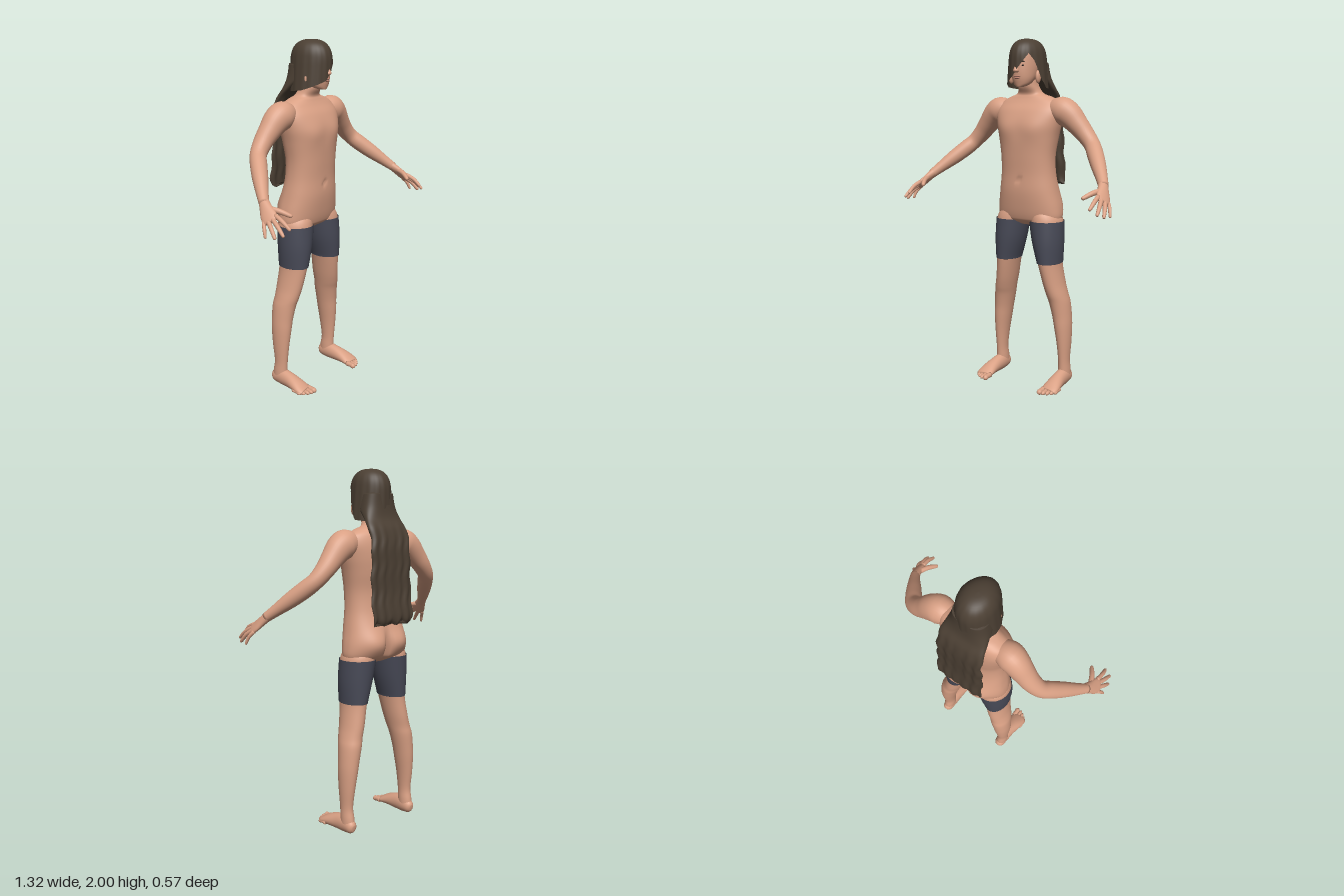
import * as THREE from 'three';

const mat = (name, color, side = THREE.FrontSide) => {
  const m = new THREE.MeshStandardMaterial({ color, side });
  m.name = name;
  return m;
};
const V3 = (x, y, z) => new THREE.Vector3(x, y, z);
const gauss = (d, w) => Math.exp(-(d * d) / (w * w));
const spow = (v, e) => Math.sign(v) * Math.abs(v) ** e;

// Catmull-Rom smoothing of rows [x, y, z, radiusU, radiusV]
function smoothRows(rows, sub) {
  const out = [], at = (i) => rows[Math.min(Math.max(i, 0), rows.length - 1)];
  for (let i = 0; i < rows.length - 1; i++) {
    for (let s = 0; s < sub; s++) {
      const t = s / sub;
      out.push(rows[i].map((b, k) => {
        const a = at(i - 1)[k], c = at(i + 1)[k], d = at(i + 2)[k];
        return 0.5 * (2 * b + (c - a) * t + (2 * a - 5 * b + 4 * c - d) * t * t + (3 * b - a - 3 * c + d) * t ** 3);
      }));
    }
  }
  out.push(at(rows.length - 1));
  return out;
}

// Skin rings along a path; 'hint' is the U direction, or null for level rings stacked upwards
function loft(rows, { n = 24, sub = 4, hint = null, e = 1, cap = true, shape = null } = {}) {
  const R = smoothRows(rows, sub), pos = [], idx = [];
  const C = R.map((r) => V3(r[0], r[1], r[2]));
  R.forEach((r, k) => {
    let U = V3(1, 0, 0), V = V3(0, 0, -1);
    if (hint) {
      const T = C[Math.min(k + 1, C.length - 1)].clone().sub(C[Math.max(k - 1, 0)]).normalize();
      U = hint.clone().addScaledVector(T, -T.dot(hint)).normalize();
      V = T.clone().cross(U);
    }
    for (let j = 0; j < n; j++) {
      const a = (j / n) * Math.PI * 2;
      const p = C[k].clone().addScaledVector(U, r[3] * spow(Math.cos(a), e)).addScaledVector(V, r[4] * spow(Math.sin(a), e));
      if (shape) shape(p);
      pos.push(p.x, p.y, p.z);
      if (k < R.length - 1) {
        const A = k * n + j, B = k * n + (j + 1) % n;
        idx.push(A, B, B + n, A, B + n, A + n);
      }
    }
  });
  if (cap) {
    const last = (R.length - 1) * n, c0 = R.length * n;
    for (const c of [C[0], C[C.length - 1]]) pos.push(c.x, c.y, c.z);
    for (let j = 0; j < n; j++) {
      const q = (j + 1) % n;
      idx.push(c0, q, j, c0 + 1, last + j, last + q);
    }
  }
  return finish(pos, idx);
}

function finish(pos, idx) {
  const g = new THREE.BufferGeometry();
  g.setAttribute('position', new THREE.Float32BufferAttribute(pos, 3));
  g.setIndex(idx);
  g.computeVertexNormals();
  return g;
}

function mirrored(geo) {
  const g = geo.clone().scale(-1, 1, 1);
  g.setIndex(Array.from(g.index.array).reverse());
  g.computeVertexNormals();
  return g;
}

const ball = (x, y, z, sx, sy, sz) => new THREE.SphereGeometry(1, 20, 14).scale(sx, sy, sz).translate(x, y, z);

// Hair cap: a dome whose lower edge follows the hairline around the head
function hairCap() {
  const line = [[-180, 1.71], [-80, 1.735], [-40, 1.765], [-15, 1.785], [15, 1.85], [45, 1.915], [60, 1.88], [80, 1.775], [95, 1.73], [180, 1.71]];
  const edge = (deg) => {
    const i = Math.max(1, line.findIndex((l) => l[0] >= deg));
    const [a, ya] = line[i - 1], [b, yb] = line[i];
    return ya + ((yb - ya) * (deg - a)) / (b - a);
  };
  const n = 72, m = 22, pos = [], idx = [];
  for (let k = 0; k <= m; k++) {
    for (let j = 0; j < n; j++) {
      const deg = -180 + (360 * j) / n, a = (deg * Math.PI) / 180;
      const d = (2 - edge(deg)) * (k / m) ** 1.8;
      const q = 1 - Math.min(d / 0.13, 1);
      const dome = (1 - q ** 2.6) ** (1 / 2.6), flare = Math.max(0, d - 0.1);
      const wave = 1 + 0.012 * Math.sin(a * 17) * Math.min(1, d * 8);
      const x = Math.sin(a) * (0.1 * dome + 0.1 * flare) * wave * (1 - 0.1 * Math.max(0, Math.cos(a)));
      pos.push(x, 2 - d, -0.075 + Math.cos(a) * 0.126 * dome * wave);
      if (k < m) {
        const A = k * n + j, B = k * n + (j + 1) % n;
        idx.push(A, A + n, B + n, A, B + n, B);
      }
    }
  }
  return finish(pos, idx);
}

export function createModel() {
  const root = new THREE.Group();
  const skin = mat('skin', 0xd9a084), hair = mat('hair', 0x4b3f33, THREE.DoubleSide);
  const cloth = mat('shorts cloth', 0x484a57, THREE.DoubleSide), lip = mat('lips', 0xbd8270), dark = mat('eye', 0x2c2522);
  const add = (name, geo, m) => {
    const mesh = new THREE.Mesh(geo, m);
    mesh.name = name;
    root.add(mesh);
  };
  const pair = (name, geo, m) => {
    add(name + 'Left', geo, m);
    add(name + 'Right', mirrored(geo), m);
  };

  // Torso and neck, with soft muscle shaping
  add('torso', loft([
    [0, 0.95, -0.10, 0.05, 0.04], [0, 0.975, -0.105, 0.18, 0.085], [0, 1.0, -0.11, 0.203, 0.104],
    [0, 1.06, -0.11, 0.2, 0.117], [0, 1.15, -0.1, 0.183, 0.118], [0, 1.25, -0.09, 0.168, 0.108],
    [0, 1.35, -0.085, 0.167, 0.108], [0, 1.45, -0.09, 0.182, 0.117], [0, 1.53, -0.095, 0.2, 0.118],
    [0, 1.6, -0.105, 0.21, 0.104], [0, 1.65, -0.115, 0.188, 0.082], [0, 1.68, -0.115, 0.135, 0.066],
    [0, 1.7, -0.11, 0.08, 0.057], [0, 1.74, -0.09, 0.058, 0.055], [0, 1.8, -0.08, 0.05, 0.05],
  ], {
    n: 80, sub: 6, e: 0.87, shape: (p) => {
      const x = Math.abs(p.x);
      if (p.z < -0.12) {
        p.z -= 0.03 * gauss(x - 0.09, 0.08) * gauss(p.y - 1.07, 0.07);
        p.z += 0.03 * gauss(x, 0.018) * gauss(p.y - 1.04, 0.08) + 0.008 * gauss(x, 0.025) * gauss(p.y - 1.4, 0.2);
      } else if (p.z > -0.06) {
        p.z += 0.008 * gauss(x - 0.09, 0.06) * gauss(p.y - 1.5, 0.06);
        p.z -= 0.012 * gauss(x, 0.012) * gauss(p.y - 1.215, 0.014);
      }
    },
  }), skin);

  // Head
  add('head', loft([
    [0, 1.735, 0, 0.02, 0.02], [0, 1.75, -0.02, 0.045, 0.045], [0, 1.78, -0.037, 0.062, 0.07],
    [0, 1.82, -0.055, 0.072, 0.092], [0, 1.87, -0.065, 0.078, 0.1], [0, 1.92, -0.07, 0.078, 0.1],
    [0, 1.96, -0.07, 0.06, 0.08], [0, 1.985, -0.07, 0.03, 0.04],
  ], { n: 40 }), skin);
  add('nose', loft([[0, 1.811, 0.033, 0.008, 0.008], [0, 1.82, 0.04, 0.016, 0.019], [0, 1.84, 0.038, 0.011, 0.014], [0, 1.875, 0.03, 0.007, 0.007]]), skin);
  add('upperLip', ball(0, 1.792, 0.032, 0.022, 0.005, 0.009), lip);
  add('lowerLip', ball(0, 1.783, 0.031, 0.018, 0.006, 0.009), lip);
  pair('ear', ball(0.09, 1.79, -0.045, 0.014, 0.036, 0.02), skin);
  pair('eye', ball(0.031, 1.851, 0.025, 0.012, 0.004, 0.004), dark);
  pair('eyebrow', ball(0.033, 1.871, 0.027, 0.018, 0.004, 0.004), hair);

  // Hair: cap with a slanted fringe, and a long sheet down the back
  add('hairCap', hairCap(), hair);
  add('longHair', loft([
    [0, 1.18, -0.262, 0.135, 0.006], [0, 1.22, -0.266, 0.142, 0.012], [0, 1.35, -0.252, 0.142, 0.012],
    [0, 1.5, -0.25, 0.138, 0.013], [0, 1.6, -0.245, 0.132, 0.015], [0, 1.68, -0.217, 0.13, 0.026],
    [0, 1.74, -0.172, 0.118, 0.04], [0, 1.8, -0.13, 0.105, 0.07], [0, 1.87, -0.12, 0.093, 0.075],
  ], {
    n: 72, sub: 6, e: 0.75, shape: (p) => {
      const low = 1 - THREE.MathUtils.smoothstep(p.y, 1.6, 1.75);
      p.z += 0.004 * low * Math.sin(p.x * 110 + p.y * 7);
      p.x += 0.005 * low * Math.sin(p.y * 45);
      p.y += 0.01 * gauss(p.y - 1.18, 0.05) * Math.sin(p.x * 75);
    },
  }), hair);

  // Arms
  pair('arm', loft([
    [0.13, 1.6, -0.11, 0.05, 0.05], [0.2, 1.605, -0.11, 0.077, 0.074], [0.25, 1.58, -0.115, 0.074, 0.07],
    [0.3, 1.53, -0.12, 0.061, 0.06], [0.35, 1.475, -0.122, 0.051, 0.052], [0.4, 1.42, -0.108, 0.045, 0.045],
    [0.44, 1.375, -0.068, 0.046, 0.045], [0.49, 1.32, -0.01, 0.042, 0.041], [0.54, 1.265, 0.05, 0.032, 0.032],
    [0.575, 1.225, 0.095, 0.026, 0.026],
  ], { n: 32, hint: V3(0, 1, 0) }), skin);

  // Hands: palm, four fingers spread along the knuckles, thumb
  const across = V3(-0.5, 0.5, 0.71);
  pair('palm', loft([
    [0.565, 1.237, 0.082, 0.026, 0.025], [0.585, 1.205, 0.117, 0.034, 0.021], [0.6, 1.18, 0.145, 0.042, 0.017],
    [0.612, 1.16, 0.17, 0.04, 0.013], [0.616, 1.153, 0.178, 0.03, 0.008],
  ], { hint: across }), skin);
  const finger = (name, a, b, r) => {
    const mid = a.clone().lerp(b, 0.5).add(V3(0.004, 0.007, 0.002)), near = mid.clone().lerp(b, 0.85);
    const row = (p, s) => [p.x, p.y, p.z, r * s, r * s];
    pair(name, loft([row(a, 1.05), row(mid, 1), row(near, 0.75), row(b, 0.25)], { n: 12, hint: across }), skin);
  };
  [['indexFinger', 0.593, 1.125, 0.283], ['middleFinger', 0.632, 1.1, 0.275], ['ringFinger', 0.65, 1.085, 0.235], ['littleFinger', 0.655, 1.08, 0.175]]
    .forEach(([name, x, y, z], i) => finger(name, V3(0.607, 1.167, 0.16).addScaledVector(across, 0.033 - i * 0.022), V3(x, y, z), 0.0115 - (i === 3 ? 0.002 : 0)));
  finger('thumb', V3(0.58, 1.207, 0.125), V3(0.525, 1.172, 0.235), 0.014);

  // Legs and shorts
  pair('leg', loft([
    [0.222, 0.04, -0.145, 0.034, 0.05], [0.222, 0.09, -0.142, 0.034, 0.046], [0.222, 0.15, -0.136, 0.032, 0.043],
    [0.22, 0.25, -0.137, 0.04, 0.054], [0.213, 0.35, -0.137, 0.05, 0.064], [0.205, 0.42, -0.136, 0.055, 0.068],
    [0.192, 0.5, -0.13, 0.06, 0.075], [0.18, 0.55, -0.12, 0.06, 0.079], [0.163, 0.62, -0.112, 0.06, 0.086],
    [0.142, 0.74, -0.1, 0.065, 0.092], [0.128, 0.86, -0.1, 0.083, 0.101], [0.115, 0.98, -0.106, 0.093, 0.104],
    [0.1, 1.03, -0.106, 0.08, 0.09],
  ], { n: 32 }), skin);
  pair('shorts', loft([
    [0.142, 0.737, -0.099, 0.064, 0.09], [0.142, 0.735, -0.099, 0.069, 0.096], [0.141, 0.75, -0.099, 0.071, 0.098],
    [0.128, 0.86, -0.1, 0.09, 0.106], [0.115, 0.978, -0.106, 0.1, 0.108],
  ], { n: 40, cap: false }), cloth);

  // Feet and toes, flattened on the ground
  const ground = (p) => { p.y = Math.max(p.y, 0); };
  const side = V3(1, 0, 0);
  pair('foot', loft([
    [0.222, 0.035, -0.2, 0.012, 0.018], [0.222, 0.038, -0.183, 0.03, 0.036], [0.222, 0.046, -0.13, 0.037, 0.05],
    [0.224, 0.042, -0.07, 0.04, 0.046], [0.228, 0.033, -0.01, 0.047, 0.035], [0.229, 0.022, 0.035, 0.051, 0.023],
    [0.227, 0.016, 0.058, 0.044, 0.015],
  ], { n: 32, hint: side, shape: ground }), skin);
  [[0.191, 0.104, 0.016], [0.216, 0.102, 0.0115], [0.237, 0.092, 0.011], [0.256, 0.077, 0.0105], [0.272, 0.057, 0.01]].forEach(([x, z, r], i) =>
    pair('toe' + (i + 1), loft([
      [x, 0.018, z - 0.06, r, r], [x, 0.017, z - 0.03, r * 0.9, r * 0.9], [x, 0.014, z - 0.012, r, r], [x, 0.012, z, r * 0.4, r * 0.4],
    ], { n: 14, hint: side, shape: ground }), skin));

  return root;
}
